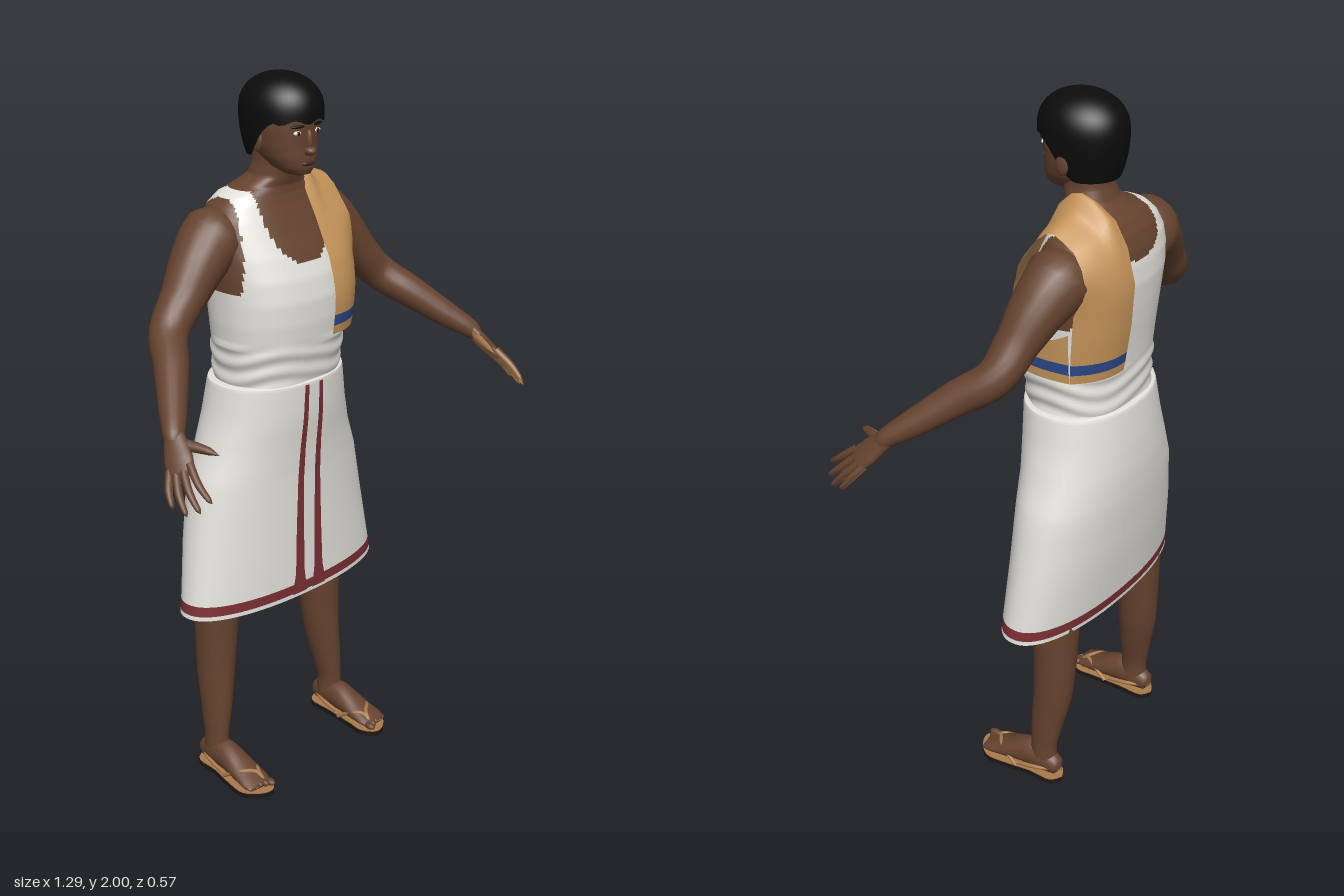
import * as THREE from 'three';

const mat = (name, color, side = THREE.FrontSide) => {
  const m = new THREE.MeshStandardMaterial({ color, side });
  m.name = name;
  return m;
};
const D = THREE.DoubleSide;
const skin = mat('skin', 0x66432f), palm = mat('palm tan', 0xa97a4c), white = mat('white cloth', 0xe4e2dc, D),
  ochre = mat('ochre cloth', 0xc6955a, D), red = mat('red border', 0x7a2f34, D), blue = mat('blue stripe', 0x2b4a8c, D),
  hairBlack = mat('hair black', 0x0c0c0d), soleDark = mat('sole dark', 0x1e1717), lipBrown = mat('lip brown', 0x452721);

// Interpolates a table of number rows at t in 0..1.
const at = (keys, t) => {
  const f = t * (keys.length - 1), i = Math.min(Math.floor(f), keys.length - 2);
  return keys[i].map((v, j) => v + (keys[i + 1][j] - v) * (f - i));
};
// Interpolates a table whose first column is a rising height.
const atHeight = (keys, y) => {
  let i = 0;
  while (i < keys.length - 2 && keys[i + 1][0] < y) i++;
  return at([keys[i], keys[i + 1]], (y - keys[i][0]) / (keys[i + 1][0] - keys[i][0]));
};

// Surface from point(u, v); paint picks a material index for each cell.
function surface(name, nu, nv, closed, point, mats, paint = () => 0) {
  const cols = closed ? nu : nu + 1, pos = [], faces = mats.map(() => []);
  for (let j = 0; j <= nv; j++) for (let i = 0; i < cols; i++) pos.push(...point(i / nu, j / nv));
  for (let j = 0; j < nv; j++) for (let i = 0; i < nu; i++) {
    const a = j * cols + i, b = j * cols + (i + 1) % cols, c = b + cols, d = a + cols;
    const mid = [0, 1, 2].map(k => (pos[a * 3 + k] + pos[b * 3 + k] + pos[c * 3 + k] + pos[d * 3 + k]) / 4);
    faces[paint(...mid, (i + 0.5) / nu)].push(a, b, c, a, c, d);
  }
  const g = new THREE.BufferGeometry();
  g.setAttribute('position', new THREE.Float32BufferAttribute(pos, 3));
  g.setIndex(faces.flat());
  let start = 0;
  faces.forEach((f, k) => { g.addGroup(start, f.length, k); start += f.length; });
  g.computeVertexNormals();
  const m = new THREE.Mesh(g, mats.length > 1 ? mats : mats[0]);
  m.name = name;
  return m;
}

// Horizontal rounded ring: key = [y, half width, back z, front z].
const ring = ([y, rx, zb, zf], u, e) => {
  const a = u * Math.PI * 2, p = v => Math.sign(v) * Math.abs(v) ** (2 / e);
  return [rx * p(Math.sin(a)), y, (zb + zf) / 2 + (zf - zb) / 2 * p(Math.cos(a))];
};

// Limb along keys [x, y, z, radius along ref, radius across].
function limb(name, keys, ref, mats, paint, nu = 20, sub = 4) {
  const curve = new THREE.CatmullRomCurve3(keys.map(k => new THREE.Vector3(...k.slice(0, 3))));
  const R = new THREE.Vector3(...ref);
  return surface(name, nu, (keys.length - 1) * sub, true, (u, v) => {
    const T = curve.getTangent(v), A = R.clone().addScaledVector(T, -R.dot(T)).normalize();
    const B = T.clone().cross(A), k = at(keys, v), a = u * Math.PI * 2;
    return curve.getPoint(v).addScaledVector(A, k[3] * Math.cos(a)).addScaledVector(B, k[4] * Math.sin(a)).toArray();
  }, mats, paint);
}

function blob(name, material, p, s) {
  const m = new THREE.Mesh(new THREE.SphereGeometry(1, 16, 10), material);
  m.name = name;
  m.position.set(...p);
  m.scale.set(...s);
  return m;
}

const torsoKeys = [[1.15, .183, -.25, .02], [1.2, .182, -.25, .027], [1.25, .185, -.25, .033], [1.3, .19, -.252, .04],
  [1.36, .195, -.257, .045], [1.42, .197, -.264, .045], [1.48, .2, -.27, .034], [1.54, .204, -.274, .01],
  [1.59, .204, -.27, -.015], [1.63, .196, -.262, -.033], [1.665, .178, -.247, -.048], [1.69, .152, -.228, -.056],
  [1.71, .105, -.205, -.058], [1.735, .07, -.178, -.05], [1.77, .062, -.165, -.042], [1.82, .06, -.16, -.035]];
const skirtKeys = [[.545, .35, -.235, .015], [.557, .348, -.236, .015], [.585, .343, -.239, .015], [.75, .315, -.262, .013],
  [.91, .285, -.277, .014], [1, .25, -.28, .02], [1.09, .222, -.275, .03], [1.18, .205, -.265, .033],
  [1.19, .202, -.262, .032], [1.195, .165, -.235, .01]];
const headKeys = [[1.742, .012, -.05, -.01], [1.748, .032, -.075, .008], [1.765, .054, -.11, .014], [1.79, .07, -.14, .015],
  [1.82, .081, -.165, .013], [1.86, .087, -.178, .014], [1.9, .089, -.185, .015], [1.94, .084, -.18, .005],
  [1.97, .064, -.16, -.02], [1.985, .02, -.11, -.06]];

function buildTorso(g) {
  // Skin and tank top share a surface; the scoop, armholes and neck are bare
  const bare = (x, y, z) => {
    const ax = Math.abs(x), front = z > -.14, depth = front ? .188 : .1;
    if (y > 1.703 || (y > 1.45 && ax > .155 + (1.69 - y) * .13)) return 0;
    return y > 1.5 && (ax / .108) ** 2.6 + ((1.705 - y) / depth) ** 2.6 < 1 ? 0 : 1;
  };
  g.add(surface('torso and tank top', 112, 90, true, (u, v) => {
    const p = ring(at(torsoKeys, v), u, 2.35), a = u * Math.PI * 2;
    const fold = p[1] < 1.31 ? .018 * Math.sin(p[1] * 125 + 2 * Math.sin(3 * a)) + .012 : 0;
    return [p[0] * (1 + fold), p[1], -.11 + (p[2] + .11) * (1 + fold)];
  }, [skin, white], bare));
}

function buildSkirt(g) {
  g.add(surface('wrapped skirt', 80, 27, true, (u, v) => ring(at(skirtKeys, v), u, 2.2), [white, red],
    (x, y) => (y > .557 && y < .585 ? 1 : 0)));
  // Pair of widening borders down the front, seen from outside and inside
  const border = [[.557, .01, .062], [.585, .014, .06], [.62, .019, .052], [.85, .021, .044], [1.185, .019, .033]];
  for (const s of [-1, 1]) for (const off of [-.004, .004])
    g.add(surface('front border', 3, 30, false, (u, v) => {
      const y = .557 + v * .628, [, x0, x1] = atHeight(border, y), x = s > 0 ? x0 + (x1 - x0) * u : -x1 + (x1 - x0) * u;
      const [, rx, zb, zf] = atHeight(skirtKeys, y);
      return [x, y, (zb + zf) / 2 + (zf - zb) / 2 * (1 - Math.abs(x / rx) ** 2.2) ** (1 / 2.2) + off];
    }, [red]));
}

function buildShawl(g) {
  const stripe = (x, y) => (y > 1.335 && y < 1.365 ? 1 : 0);
  // Inner edge path over the shoulder as [y, z], front hem to back hem
  const path = [[1.31, .047], [1.335, .051], [1.365, .055], [1.42, .057], [1.47, .048], [1.52, .032], [1.57, .006], [1.62, -.02],
    [1.67, -.05], [1.715, -.075], [1.745, -.11], [1.752, -.14], [1.74, -.175], [1.71, -.225], [1.65, -.262], [1.56, -.286],
    [1.45, -.279], [1.365, -.267], [1.335, -.262], [1.31, -.258]];
  g.add(surface('shoulder shawl', 14, 38, false, (w, v) => {
    const [y, z] = at(path, v), high = THREE.MathUtils.clamp((y - 1.6) / .14, 0, 1);
    const pull = (y > 1.5 ? Math.max(.25, .45 - (y - 1.5) * 2) : .45) * w ** 2.5;
    const collar = high * .03 * Math.exp(-(((w - .2) / .15) ** 2));
    const outer = .2 + .008 * Math.sin(Math.min(1, (y - 1.31) / .3) * Math.PI) - .01 * high;
    return [.058 + (outer - .058) * w, y - .05 * w * high + collar, -.11 + (z + .11) * (1 - pull)];
  }, [ochre, blue], stripe));
  // Part that closes round the ribs below the arm
  const rows = [1.31, 1.335, 1.365, 1.4, 1.45];
  g.add(surface('shawl side', 12, 4, false, (u, v) => {
    const k = Math.round(v * 4), bow = Math.sin(u * Math.PI);
    return [.2 + .006 * k / 4 + .012 * bow, rows[k] - (k === 4 ? .03 * bow : 0), -.02 - .17 * u];
  }, [ochre, blue], stripe));
}

function buildHead(g) {
  g.add(surface('head', 40, 36, true, (u, v) => ring(at(headKeys, v), u, 2.2), [skin]));
  // Cap of hair, high at the brow and low at the nape
  g.add(surface('hair', 48, 24, true, (u, v) => {
    const a = u * Math.PI * 2, c = Math.cos(a);
    const low = c > .55 ? 1.888 + .006 * Math.sin(a * 9) : 1.79 + .098 * THREE.MathUtils.smoothstep(c, -.35, .55);
    const y = low + (2 - low) * Math.sin(v * Math.PI / 2), d = (y - 1.9) / .1;
    const r = d > 0 ? Math.sqrt(Math.max(0, 1 - d ** 2.4)) : 1 - .14 * d * d;
    return [-.004 + .101 * r * Math.sin(a), y, -.083 + .121 * r * c];
  }, [hairBlack]));
  g.add(blob('nose bridge', skin, [0, 1.835, .013], [.009, .03, .012]));
  g.add(blob('nose tip', skin, [0, 1.81, .018], [.016, .012, .018]));
  g.add(blob('lips', lipBrown, [0, 1.777, .012], [.021, .007, .007]));
  for (const s of [-1, 1]) {
    g.add(blob('ear', skin, [s * .088, 1.835, -.085], [.009, .03, .019]));
    g.add(blob('eye', white, [s * .034, 1.858, .007], [.013, .006, .006]));
    g.add(blob('pupil', hairBlack, [s * .034, 1.858, .011], [.005, .005, .004]));
    const brow = blob('eyebrow', hairBlack, [s * .036, 1.875, .01], [.02, .004, .005]);
    brow.rotation.y = s * .3;
    g.add(brow);
  }
}

function buildArm(s) {
  const g = new THREE.Group();
  g.name = s > 0 ? 'leftArm' : 'rightArm';
  const side = keys => keys.map(([x, ...r]) => [x * s, ...r]);
  g.add(limb('arm', side([[.12, 1.6, -.15, .05, .05], [.185, 1.585, -.15, .088, .088], [.25, 1.535, -.137, .074, .076],
    [.32, 1.457, -.12, .056, .06], [.385, 1.385, -.102, .05, .052], [.44, 1.33, -.03, .046, .046],
    [.51, 1.262, .055, .036, .037], [.555, 1.22, .11, .026, .028], [.565, 1.205, .122, .02, .022]]), [0, 1, .3], [skin]));
  // Hand: the inner faces of palm and fingers are lighter
  const spread = [.03, -.015 * s, -.055 * s], under = (x, y, z, u) => (u > .53 && u < .97 ? 1 : 0);
  g.add(limb('hand', side([[.55, 1.23, .1, .024, .02], [.562, 1.207, .122, .03, .018], [.578, 1.175, .152, .038, .017],
    [.592, 1.15, .178, .037, .013], [.597, 1.142, .186, .02, .005]]), spread, [skin, palm], under));
  const fingers = [[[.575, 1.172, .19], [.585, 1.1, .28]], [[.588, 1.158, .18], [.61, 1.077, .267]],
    [[.598, 1.15, .165], [.63, 1.067, .24]], [[.603, 1.148, .147], [.64, 1.077, .2]]];
  for (const [a, b] of fingers) {
    const p = t => a.map((v, i) => v + (b[i] - v) * t + (i === 0 ? .008 * Math.sin(t * Math.PI) : 0));
    g.add(limb('finger', side([[...p(0), .011, .011], [...p(.5), .01, .01], [...p(.9), .007, .007], [...p(1), .001, .001]]),
      spread, [skin, palm], under, 10, 3));
  }
  g.add(limb('thumb', side([[.56, 1.205, .125, .014, .014], [.54, 1.2, .17, .014, .013], [.525, 1.195, .205, .01, .01],
    [.515, 1.188, .23, .001, .001]]), spread, [skin, palm], under, 10, 3));
  return g;
}

function buildLeg(s) {
  const g = new THREE.Group();
  g.name = s > 0 ? 'leftLeg' : 'rightLeg';
  const side = keys => keys.map(([x, ...r]) => [x * s, ...r]);
  g.add(limb('leg', side([[.231, .05, -.13, .04, .033], [.231, .12, -.13, .04, .031], [.222, .21, -.138, .05, .042],
    [.213, .3, -.148, .058, .052], [.206, .42, -.151, .062, .06], [.2, .54, -.15, .066, .068],
    [.17, .75, -.14, .08, .08], [.13, .95, -.13, .09, .09]]), [0, 0, 1], [skin]));
  g.add(limb('foot', side([[.232, .045, -.19, .004, .004], [.232, .048, -.178, .028, .024], [.232, .058, -.13, .044, .034],
    [.233, .06, -.08, .044, .037], [.235, .043, -.01, .027, .044], [.238, .033, .035, .017, .046],
    [.24, .028, .062, .009, .04], [.24, .028, .066, .002, .02]]), [0, 1, 0], [skin]));
  for (let i = 0; i < 5; i++)
    g.add(blob('toe', skin, [s * (.207 + i * .016), .029, .068 - i * .007], [i ? .0085 : .012, .01, i ? .016 : .019]));
  // Sandal: dark sole, tan footbed, thong straps and heel strap
  const outline = [[.232, .195], [.2, .17], [.198, .1], [.19, 0], [.186, -.05], [.212, -.088], [.25, -.082], [.288, -.04],
    [.284, .02], [.268, .1], [.264, .17]].map(([x, y]) => new THREE.Vector2(x * s, y));
  const curve = new THREE.SplineCurve([...outline, outline[0]]);
  const layer = (name, m, y, h) => {
    const geo = new THREE.ExtrudeGeometry(new THREE.Shape(curve.getPoints(44)), { depth: h, bevelEnabled: false });
    geo.rotateX(-Math.PI / 2).scale(1, 1, 1);
    const mesh = new THREE.Mesh(geo, m);
    mesh.name = name;
    mesh.position.y = y;
    g.add(mesh);
  };
  layer('sandal sole', soleDark, 0, .015);
  layer('sandal footbed', palm, .015, .003);
  const strap = (...pts) => {
    const path = new THREE.CatmullRomCurve3(pts.map(([x, y, z]) => new THREE.Vector3(x * s, y, z)));
    const m = new THREE.Mesh(new THREE.TubeGeometry(path, 20, .006, 8), palm);
    m.name = 'sandal strap';
    g.add(m);
  };
  strap([.218, .025, .062], [.218, .05, .035], [.2, .048, 0], [.19, .018, -.05]);
  strap([.218, .025, .062], [.225, .053, .035], [.262, .055, 0], [.274, .018, -.06]);
  strap([.194, .03, -.06], [.199, .042, -.13], [.232, .045, -.188], [.265, .042, -.13], [.273, .03, -.06]);
  return g;
}

export function createModel() {
  const model = new THREE.Group();
  model.name = 'standing man';
  const part = (name, build) => {
    const g = new THREE.Group();
    g.name = name;
    build(g);
    model.add(g);
  };
  part('torso', buildTorso);
  part('skirt', buildSkirt);
  part('shawl', buildShawl);
  part('headGroup', buildHead);
  for (const s of [-1, 1]) model.add(buildArm(s), buildLeg(s));
  return model;
}
